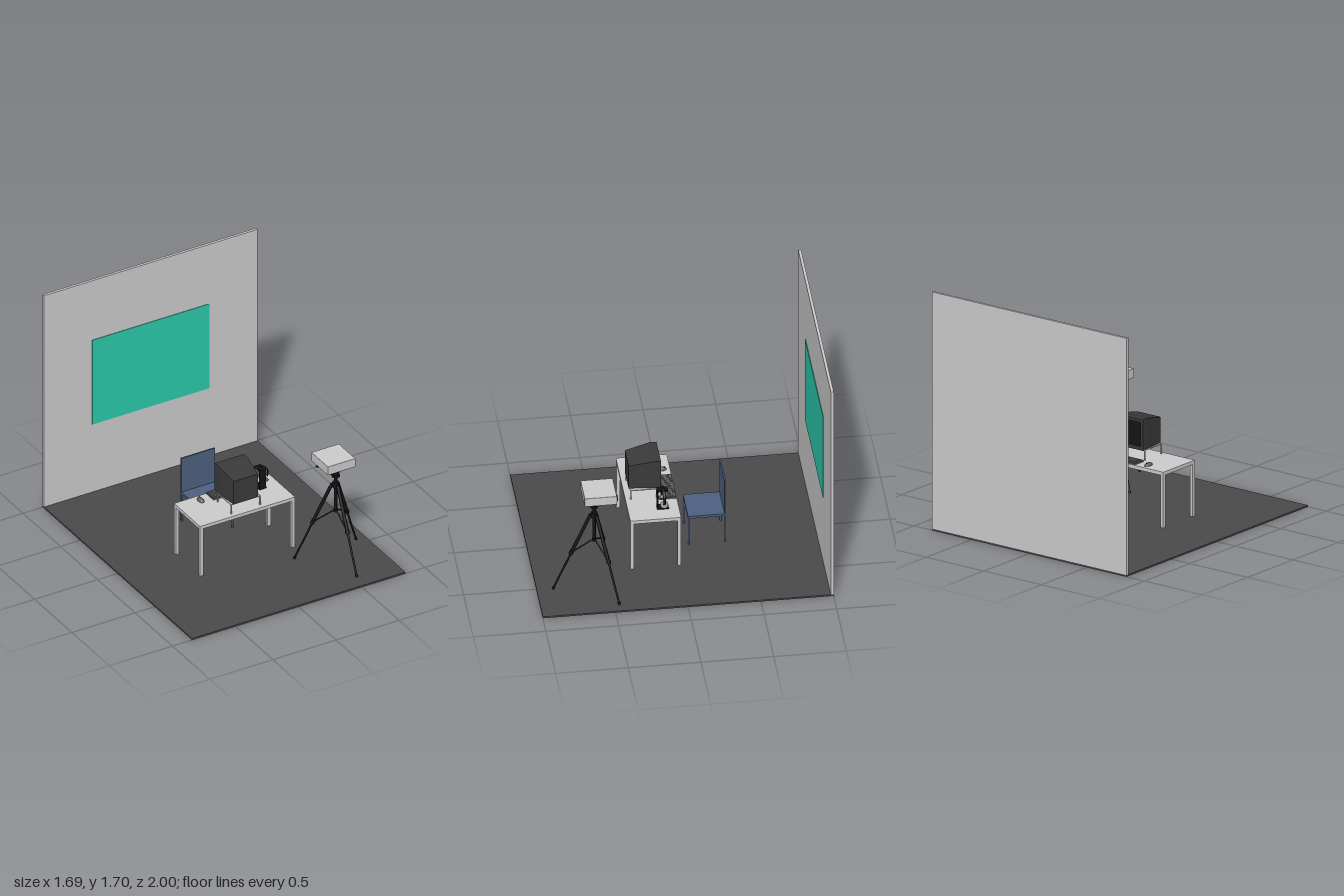
import * as THREE from 'three';
import { RoundedBoxGeometry } from 'three/addons/geometries/RoundedBoxGeometry.js';

const mat = (color, extra = {}) => new THREE.MeshStandardMaterial({ color, ...extra });
const GREY = mat(0xcccccc);
const FLOOR = mat(0x4a4a4a);
const BLACK = mat(0x141414);
const DARK = mat(0x3a3a3a);
const MID = mat(0x606060);
const BLUE = mat(0x4d6080);
const GREEN = mat(0x2cc9ab);

function add(parent, name, geometry, material, x = 0, y = 0, z = 0) {
  const mesh = new THREE.Mesh(geometry, material);
  mesh.name = name;
  mesh.position.set(x, y, z);
  parent.add(mesh);
  return mesh;
}

// Box given by its extents along each axis
function box(parent, name, material, [x0, x1], [y0, y1], [z0, z1]) {
  return add(parent, name, new THREE.BoxGeometry(x1 - x0, y1 - y0, z1 - z0), material,
    (x0 + x1) / 2, (y0 + y1) / 2, (z0 + z1) / 2);
}

// Round bar between two points
function rod(parent, name, material, a, b, r0, r1 = r0, sides = 12) {
  const p = new THREE.Vector3(...a), q = new THREE.Vector3(...b);
  const dir = q.clone().sub(p);
  const mesh = add(parent, name, new THREE.CylinderGeometry(r1, r0, dir.length(), sides), material);
  mesh.position.copy(p).add(q).multiplyScalar(0.5);
  mesh.quaternion.setFromUnitVectors(new THREE.Vector3(0, 1, 0), dir.normalize());
  return mesh;
}

function group(parent, name, x = 0, y = 0, z = 0) {
  const g = new THREE.Group();
  g.name = name;
  g.position.set(x, y, z);
  parent.add(g);
  return g;
}

function buildRoom(root) {
  const g = group(root, 'room');
  box(g, 'floor', FLOOR, [-0.845, 0.845], [0, 0.012], [-1, 1]);
  box(g, 'backWall', GREY, [-0.845, 0.845], [0.012, 1.705], [-1, -0.98]);
  box(g, 'projectionScreen', GREEN, [-0.465, 0.462], [0.555, 1.23], [-0.98, -0.976]);
}

function buildDesk(root) {
  const g = group(root, 'desk');
  box(g, 'deskTop', GREY, [-0.387, 0.365], [0.385, 0.411], [-0.015, 0.335]);
  for (const x of [-0.387, 0.34])
    for (const z of [-0.015, 0.31])
      box(g, 'deskLeg', GREY, [x, x + 0.025], [0.012, 0.385], [z, z + 0.025]);
}

function buildChair(root) {
  const g = group(root, 'chair');
  box(g, 'seat', BLUE, [-0.133, 0.131], [0.227, 0.246], [-0.355, -0.093]);
  box(g, 'backrest', BLUE, [-0.133, 0.131], [0.246, 0.515], [-0.355, -0.344]);
  for (const x of [-0.133, 0.12])
    for (const z of [-0.355, -0.104])
      box(g, 'chairLeg', BLUE, [x, x + 0.011], [0.012, 0.227], [z, z + 0.011]);
}

function buildMonitor(root) {
  const r = group(root, 'monitorRiser');
  box(r, 'riserTop', GREY, [-0.125, 0.112], [0.48, 0.487], [0.105, 0.303]);
  for (const x of [-0.125, 0.104])
    for (const z of [0.115, 0.295])
      box(r, 'riserLeg', GREY, [x, x + 0.008], [0.411, 0.48], [z, z + 0.008]);

  const g = group(root, 'monitor');
  // Bezel frame around a recessed glass, facing the chair
  const z = [0.09, 0.14];
  box(g, 'bezelTop', DARK, [-0.127, 0.105], [0.685, 0.707], z);
  box(g, 'bezelBottom', DARK, [-0.127, 0.105], [0.487, 0.512], z);
  box(g, 'bezelSide', DARK, [-0.127, -0.107], [0.512, 0.685], z);
  box(g, 'bezelSide', DARK, [0.085, 0.105], [0.512, 0.685], z);
  box(g, 'glass', BLACK, [-0.107, 0.085], [0.512, 0.685], [0.1, 0.14]);
  // Tube housing tapers away from the screen, with a level underside
  const body = new THREE.BoxGeometry(0.23, 0.22, 0.17);
  const p = body.attributes.position;
  for (let i = 0; i < p.count; i++) {
    if (p.getZ(i) < 0) continue;
    p.setX(i, p.getX(i) * 0.83);
    if (p.getY(i) > 0) p.setY(i, 0.074);
  }
  body.computeVertexNormals();
  add(g, 'housing', body, DARK, -0.011, 0.597, 0.225);
}

function buildDeskItems(root) {
  const k = group(root, 'keyboard');
  box(k, 'keyboardBase', MID, [-0.135, 0.137], [0.411, 0.422], [-0.012, 0.088]);
  const keys = 14;
  for (let row = 0; row < 5; row++)
    for (let i = 0; i < keys; i++) {
      const x = -0.129 + i * 0.0187, zz = -0.006 + row * 0.0178;
      box(k, 'key', MID, [x, x + 0.0165], [0.422, 0.427], [zz, zz + 0.0155]);
    }

  const m = group(root, 'mouse', -0.212, 0.411, 0.046);
  const shell = add(m, 'mouseShell',
    new THREE.SphereGeometry(1, 24, 10, 0, Math.PI * 2, 0, Math.PI / 2), MID);
  shell.scale.set(0.02, 0.022, 0.036);
  const wheel = add(m, 'scrollWheel', new THREE.CylinderGeometry(0.005, 0.005, 0.005, 12), BLACK, 0, 0.018, -0.02);
  wheel.rotation.z = Math.PI / 2;
}

function buildHeadphones(root) {
  const g = group(root, 'headphones', 0.228, 0, 0.09);
  // C-shaped stand: base, post and hanging arm
  box(g, 'standBase', BLACK, [-0.027, 0.027], [0.411, 0.421], [-0.035, 0.045]);
  box(g, 'standPost', BLACK, [-0.025, 0.025], [0.421, 0.56], [0.035, 0.045]);
  box(g, 'standArm', BLACK, [-0.025, 0.025], [0.554, 0.565], [-0.03, 0.045]);
  // Band hung over the arm, with cups at its ends
  const band = new THREE.TorusGeometry(0.066, 0.0035, 8, 40, Math.PI * 1.3);
  const hoop = add(g, 'headband', band, BLACK, 0, 0.503, 0);
  hoop.rotation.z = -Math.PI * 0.15;
  hoop.scale.z = 2.5;
  for (const s of [-1, 1]) {
    const cup = group(g, 'earCup', s * 0.045, 0.463, 0);
    cup.rotation.z = Math.PI / 2 + s * 0.7;
    add(cup, 'cupShell', new THREE.CylinderGeometry(0.027, 0.027, 0.016, 24), MID);
    add(cup, 'cushion', new THREE.TorusGeometry(0.02, 0.007, 8, 24), MID, 0, s * 0.009, 0).rotation.x = Math.PI / 2;
  }
}

function buildTripod(root) {
  const g = group(root, 'tripod', 0.527, 0, 0.605);
  rod(g, 'centreColumn', BLACK, [0, 0.395, 0], [0, 0.68, 0], 0.011);
  rod(g, 'crown', BLACK, [0, 0.585, 0], [0, 0.625, 0], 0.024);
  rod(g, 'strutHub', BLACK, [0, 0.39, 0], [0, 0.41, 0], 0.016);
  for (let i = 0; i < 3; i++) {
    const leg = group(g, 'tripodLeg');
    leg.rotation.y = i * Math.PI * 2 / 3;
    rod(leg, 'upperLeg', BLACK, [0, 0.61, 0.026], [0, 0.305, 0.157], 0.012);
    rod(leg, 'lowerLeg', BLACK, [0, 0.305, 0.157], [0, 0.025, 0.278], 0.007);
    rod(leg, 'legClamp', BLACK, [0, 0.32, 0.151], [0, 0.292, 0.163], 0.015);
    rod(leg, 'foot', BLACK, [0, 0.03, 0.276], [0, 0.012, 0.284], 0.009, 0.008);
    rod(leg, 'strut', BLACK, [0, 0.4, 0.012], [0, 0.305, 0.157], 0.005);
  }
  // Pan and tilt head with its steering handle
  rod(g, 'panBase', BLACK, [0, 0.67, 0], [0, 0.685, 0], 0.028, 0.028, 20);
  rod(g, 'panBody', BLACK, [0, 0.685, 0], [0, 0.735, 0], 0.02);
  rod(g, 'tiltAxle', BLACK, [-0.04, 0.705, 0], [0.03, 0.705, 0], 0.012);
  box(g, 'mountPlate', BLACK, [-0.026, 0.026], [0.735, 0.752], [-0.03, 0.03]);
  rod(g, 'handle', BLACK, [-0.005, 0.738, -0.005], [-0.045, 0.708, -0.095], 0.004);
  rod(g, 'handleGrip', BLACK, [-0.045, 0.708, -0.095], [-0.066, 0.691, -0.148], 0.007);
}

function buildProjector(root) {
  const g = group(root, 'projector', 0.527, 0.787, 0.574);
  add(g, 'projectorCase', new RoundedBoxGeometry(0.218, 0.068, 0.222, 2, 0.003), GREY);
  // Lens points at the wall
  rod(g, 'lensBarrel', BLACK, [0.078, 0, -0.1], [0.078, 0, -0.118], 0.024, 0.023, 28);
  rod(g, 'lensGlass', DARK, [0.078, 0, -0.117], [0.078, 0, -0.12], 0.016, 0.013, 28);
}

export function createModel() {
  const root = new THREE.Group();
  root.name = 'projectionRoom';
  [buildRoom, buildDesk, buildChair, buildMonitor, buildDeskItems,
    buildHeadphones, buildTripod, buildProjector].forEach((build) => build(root));
  return root;
}
